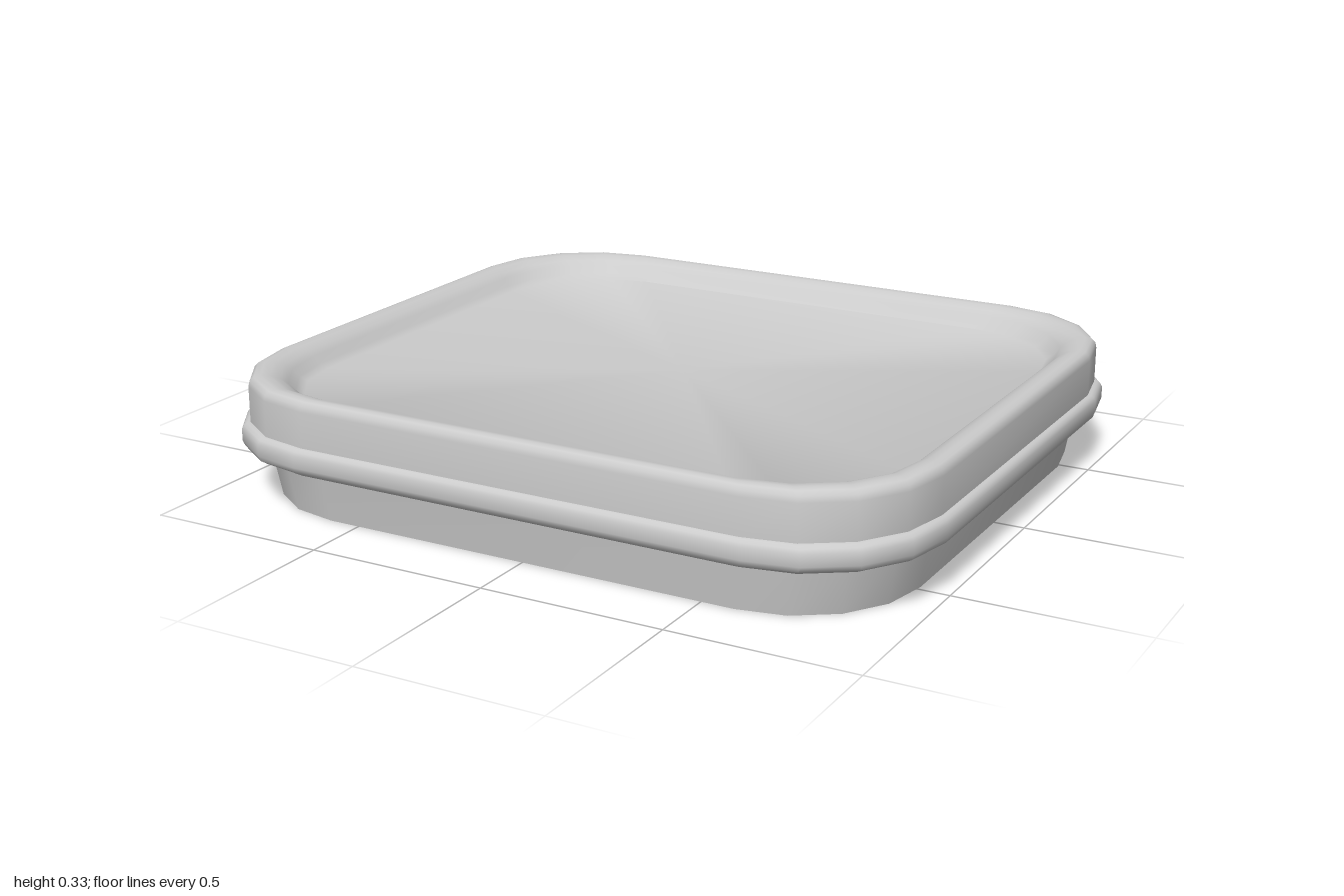
import * as THREE from 'three';
import { toCreasedNormals } from 'three/addons/utils/BufferGeometryUtils.js';

// Rounded-rectangle outline in x/z: four corners, each an arc of four segments
function outline() {
  const cx = 0.64, cz = 0.53, r = 0.36, points = [];
  const signs = [[1, 1], [-1, 1], [-1, -1], [1, -1]];
  signs.forEach(([sx, sz], corner) => {
    for (let i = 0; i <= 4; i++) {
      const a = (corner + i / 4) * Math.PI / 2;
      points.push([sx * cx + r * Math.cos(a), sz * cz + r * Math.sin(a)]);
    }
  });
  return points;
}

// Sweeps a [scale, y] profile round the outline; scale 0 closes a face at its centre
function loft(profile, crease) {
  const ring = outline(), n = ring.length, pos = [];
  const at = (k, j) => {
    const [s, y] = profile[k], [x, z] = ring[j % n];
    return [x * s, y, z * s];
  };
  for (let k = 0; k < profile.length - 1; k++) {
    for (let j = 0; j < n; j++) {
      const a = at(k, j), b = at(k, j + 1), c = at(k + 1, j), d = at(k + 1, j + 1);
      if (profile[k + 1][0] > 0) pos.push(...c, ...d, ...b);
      if (profile[k][0] > 0) pos.push(...a, ...c, ...b);
    }
  }
  const geometry = new THREE.BufferGeometry();
  geometry.setAttribute('position', new THREE.Float32BufferAttribute(pos, 3));
  return toCreasedNormals(geometry, crease);
}

export function createModel() {
  const group = new THREE.Group();
  const material = new THREE.MeshStandardMaterial({ color: 0xcccccc, side: THREE.DoubleSide });
  const add = (name, profile) => {
    const mesh = new THREE.Mesh(loft(profile, 0.7), material);
    mesh.name = name;
    group.add(mesh);
  };

  // Tapered tray with a flat bottom
  add('tray', [[0, 0], [0.918, 0], [0.938, 0.125]]);

  // Rounded band round the lower edge of the lid
  add('lidBand', [
    [0.938, 0.122], [0.96, 0.126], [0.98, 0.134], [0.995, 0.144], [1, 0.158],
    [1, 0.19], [0.995, 0.2], [0.988, 0.206], [0.978, 0.208],
  ]);

  // Lid wall, rounded rim and sunken top panel
  add('lid', [
    [0.98, 0.206], [0.98, 0.305], [0.977, 0.32], [0.968, 0.33], [0.953, 0.334],
    [0.932, 0.332], [0.91, 0.322], [0.893, 0.308], [0.878, 0.288], [0.86, 0.274], [0, 0.274],
  ]);

  return group;
}
